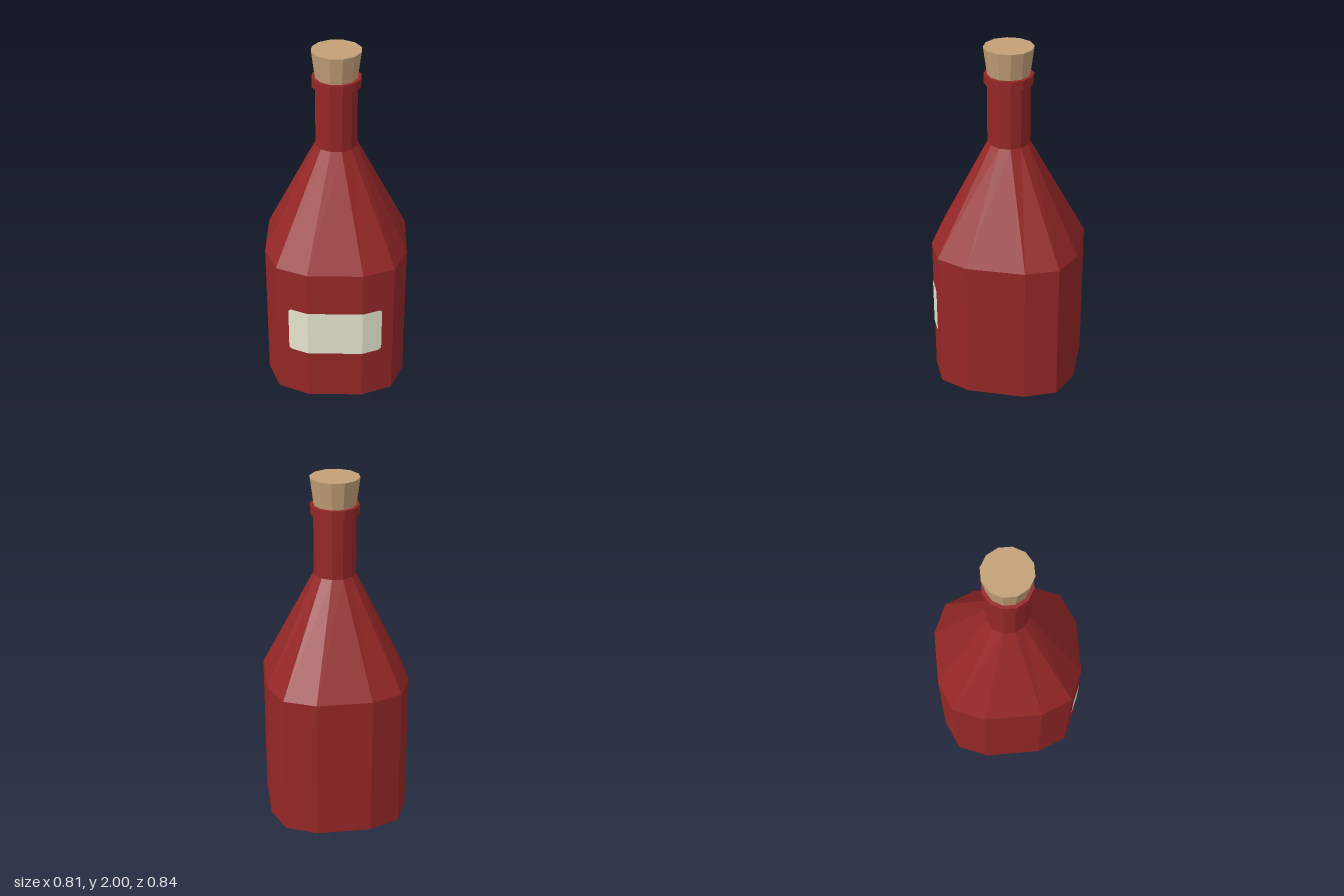
import * as THREE from 'three';

const glass = new THREE.MeshStandardMaterial({ color: 0x962727 });
glass.name = 'redGlass';
const corkMat = new THREE.MeshStandardMaterial({ color: 0xc3a077 });
corkMat.name = 'cork';
const paper = new THREE.MeshStandardMaterial({ color: 0xe6e6cf });
paper.name = 'labelPaper';
for (const m of [glass, corkMat, paper]) m.flatShading = true;

// Twelve-sided ring, counterclockwise from above, with a flat side facing front
const roundRing = (r, y) => Array.from({ length: 12 }, (_, i) => {
  const a = THREE.MathUtils.degToRad(-15 + i * 30);
  return [r * Math.sin(a), y, r * Math.cos(a)];
});

// Squarish twelve-sided ring of the body, in the same order
const bodyRing = (y) => [
  [-0.155, 0.42], [0.155, 0.42], [0.33, 0.344], [0.403, 0.165],
  [0.403, -0.165], [0.33, -0.344], [0.155, -0.42], [-0.155, -0.42],
  [-0.33, -0.344], [-0.403, -0.165], [-0.403, 0.165], [-0.33, 0.344],
].map(([x, z]) => [x, y, z]);

// Faceted skin through stacked rings, closed at both ends
function loft(name, rings, material) {
  const pos = [];
  const tri = (...pts) => pts.forEach((p) => pos.push(...p));
  for (let r = 0; r + 1 < rings.length; r++) {
    for (let i = 0; i < 12; i++) {
      const j = (i + 1) % 12, lo = rings[r], hi = rings[r + 1];
      tri(lo[i], lo[j], hi[j]);
      tri(lo[i], hi[j], hi[i]);
    }
  }
  const bottom = rings[0], top = rings[rings.length - 1];
  for (let i = 0; i < 12; i++) {
    const j = (i + 1) % 12;
    tri([0, bottom[0][1], 0], bottom[j], bottom[i]);
    tri([0, top[0][1], 0], top[i], top[j]);
  }
  return makeMesh(name, pos, material);
}

function makeMesh(name, pos, material) {
  const g = new THREE.BufferGeometry();
  g.setAttribute('position', new THREE.Float32BufferAttribute(pos, 3));
  g.computeVertexNormals();
  const mesh = new THREE.Mesh(g, material);
  mesh.name = name;
  return mesh;
}

// Paper strip wrapped over the front facets, with clipped corners
function makeLabel() {
  const surfaceZ = (x) => 0.423 - Math.max(0, Math.abs(x) - 0.155) * (0.076 / 0.175);
  const columns = [[-0.265, 0.013], [-0.252, 0], [-0.155, 0], [0.155, 0], [0.252, 0], [0.265, 0.013]]
    .map(([x, inset]) => [[x, 0.305 + inset, surfaceZ(x)], [x, 0.585 - inset, surfaceZ(x)]]);
  const pos = [];
  for (let i = 0; i + 1 < columns.length; i++) {
    const [a, d] = columns[i], [b, c] = columns[i + 1];
    pos.push(...a, ...b, ...c, ...a, ...c, ...d);
  }
  return makeMesh('label', pos, paper);
}

export function createModel() {
  const model = new THREE.Group();
  model.name = 'bottle';
  model.add(
    loft('bottleBody', [bodyRing(0), bodyRing(0.84), roundRing(0.119, 1.45), roundRing(0.119, 1.81)], glass),
    loft('neckCollar', [roundRing(0.137, 1.797), roundRing(0.137, 1.848)], glass),
    loft('corkStopper', [roundRing(0.115, 1.83), roundRing(0.138, 2)], corkMat),
    makeLabel(),
  );
  return model;
}
